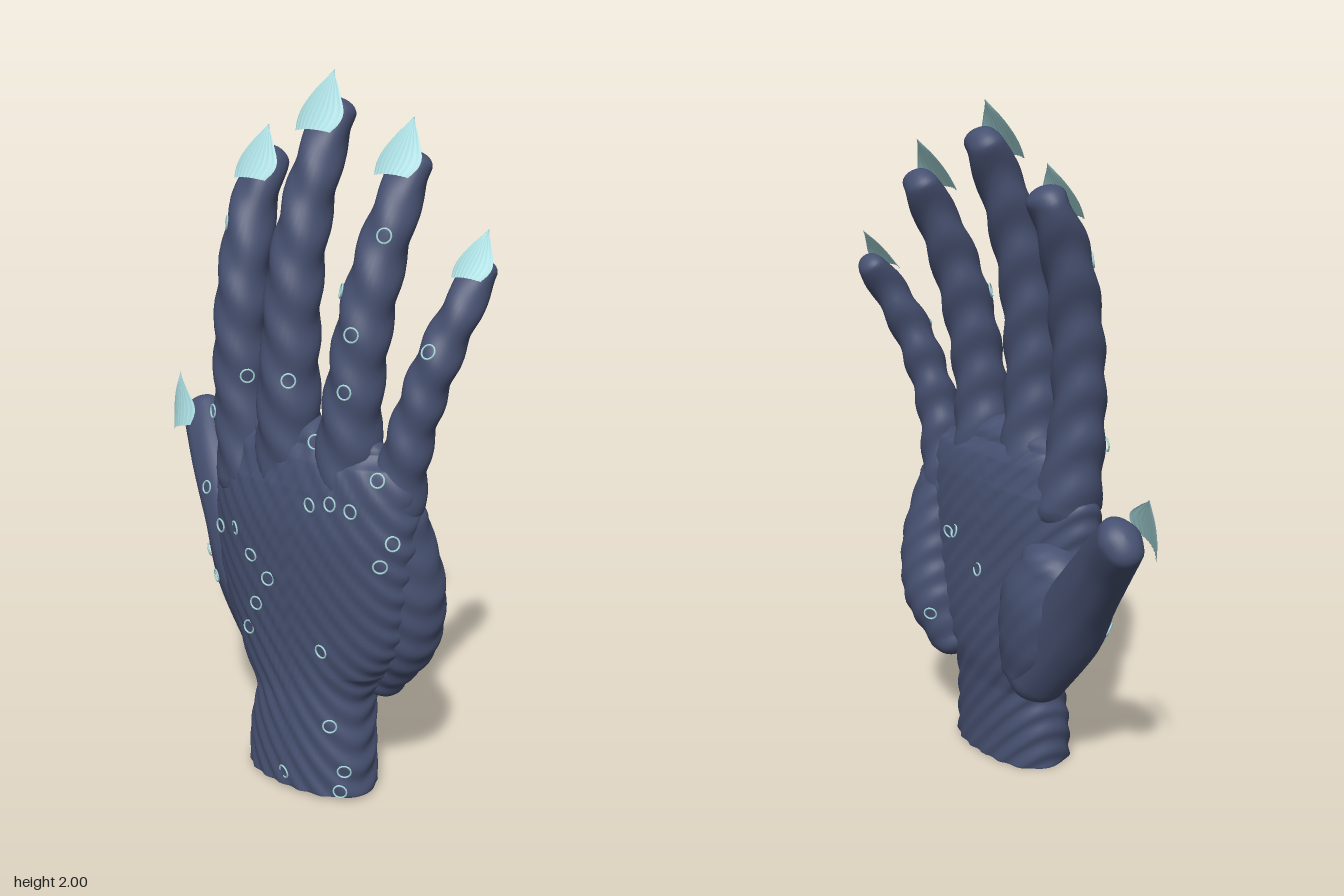
import * as THREE from 'three';

const skin = new THREE.MeshStandardMaterial({ color: 0x465070 });
skin.name = 'slate blue skin';
const pale = new THREE.MeshStandardMaterial({ color: 0xaadce0, side: THREE.DoubleSide });
pale.name = 'pale aqua';

const V = (x, y, z) => new THREE.Vector3(x, y, z);
const FRONT = V(0, 0, 1);

// Sweeps a rounded section along keys [x, y, z, halfWidth, halfDepth].
// Diagonal ridges (amp, wave) run over the surface.
function sweep(name, keys, { rows = 80, cols = 32, amp = 0.0045, wave = 0.1, power = 2, flatStart = false } = {}) {
  const path = new THREE.CatmullRomCurve3(keys.map(k => V(k[0], k[1], k[2])));
  const size = new THREE.CatmullRomCurve3(keys.map(k => V(k[3], k[4] ?? k[3], 0)));
  const stations = [];
  const add = (t, scale, push) => stations.push({ t, scale, push });
  const CAP = 8;
  if (flatStart) [0.001, 0.5, 0.99].forEach(s => add(0, s, 0));
  else for (let i = 0; i < CAP; i++) {
    const a = (1 - i / CAP) * Math.PI / 2;
    add(0, Math.max(Math.cos(a), 0.001), -Math.sin(a));
  }
  for (let i = 0; i <= rows; i++) add(i / rows, 1, 0);
  for (let i = 1; i <= CAP; i++) {
    const a = i / CAP * Math.PI / 2;
    add(1, Math.max(Math.cos(a), 0.001), Math.sin(a));
  }

  const pos = [], index = [];
  for (const { t, scale, push } of stations) {
    const s = size.getPoint(t);
    const along = path.getTangent(t);
    const side = along.clone().cross(FRONT).normalize();
    const front = side.clone().cross(along);
    const c = path.getPoint(t).addScaledVector(along, push * Math.min(s.x, s.y) * 0.85);
    for (let j = 0; j < cols; j++) {
      const a = j / cols * Math.PI * 2;
      const bend = v => Math.sign(v) * Math.abs(v) ** (2 / power);
      const out = side.clone().multiplyScalar(bend(Math.cos(a)) * s.x * scale)
        .addScaledVector(front, bend(Math.sin(a)) * s.y * scale);
      const p = c.clone().add(out);
      const ridge = amp * scale * Math.sin((p.x * 0.8 + p.y * 0.7 + p.z * 0.25) / wave * Math.PI * 2);
      p.addScaledVector(out.normalize(), ridge);
      pos.push(p.x, Math.max(p.y, 0.005), p.z);
    }
  }
  for (let i = 0; i < stations.length - 1; i++) {
    for (let j = 0; j < cols; j++) {
      const a = i * cols + j, b = i * cols + (j + 1) % cols;
      index.push(a, a + cols, b, b, a + cols, b + cols);
    }
  }
  const g = new THREE.BufferGeometry();
  g.setAttribute('position', new THREE.Float32BufferAttribute(pos, 3));
  g.setIndex(index);
  g.computeVertexNormals();
  const mesh = new THREE.Mesh(g, skin);
  mesh.name = name;
  return mesh;
}

// Pointed, gently arched and fluted nail from the middle of its base to its tip
function nail(name, base, tip, half, side = V(1, 0, 0)) {
  const along = tip.clone().sub(base);
  const normal = side.clone().cross(along).normalize();
  const outline = new THREE.SplineCurve([[0.78, 0], [0.98, 0.2], [0.93, 0.4], [0.5, 0.7], [0.2, 0.87], [0.01, 1]]
    .map(p => new THREE.Vector2(...p)));
  const g = new THREE.PlaneGeometry(2, 1, 28, 20);
  const p = g.attributes.position;
  for (let i = 0; i < p.count; i++) {
    const u = p.getX(i), o = outline.getPoint(p.getY(i) + 0.5);
    const w = u * o.x;
    const lift = 0.018 - half * 0.3 * w * w + 0.0012 * Math.cos(u * 28);
    const q = base.clone().addScaledVector(along, o.y)
      .addScaledVector(side, w * half).addScaledVector(normal, lift * (1 - o.y * 0.6));
    p.setXYZ(i, q.x, q.y, q.z);
  }
  g.computeVertexNormals();
  const mesh = new THREE.Mesh(g, pale);
  mesh.name = name;
  return mesh;
}

export function createModel() {
  const model = new THREE.Group();
  model.name = 'hand';
  const hand = new THREE.Group();
  hand.name = 'handSkin';
  model.add(hand);

  // Wrist and palm: [y, xMin, xMax, zMin, zMax]
  const sections = [
    [0.012, -0.055, 0.36, -0.05, 0.2], [0.12, -0.055, 0.355, -0.05, 0.195],
    [0.26, -0.035, 0.345, -0.055, 0.185], [0.37, -0.1, 0.39, -0.07, 0.18],
    [0.5, -0.16, 0.45, -0.075, 0.182], [0.65, -0.19, 0.475, -0.07, 0.187],
    [0.8, -0.2, 0.485, -0.065, 0.187], [0.91, -0.19, 0.48, -0.055, 0.175],
    [0.99, -0.15, 0.43, -0.035, 0.155], [1.03, -0.1, 0.38, -0.01, 0.13],
  ].map(([y, x0, x1, z0, z1]) => [(x0 + x1) / 2, y, (z0 + z1) / 2, (x1 - x0) / 2, (z1 - z0) / 2]);
  hand.add(sweep('palmAndWrist', sections,
    { rows: 150, cols: 110, wave: 0.052, amp: 0.0038, power: 2.3, flatStart: true }));

  // Fleshy pads on the palm side
  hand.add(
    sweep('thumbPad', [[-0.02, 0.37, -0.015, 0.1, 0.085], [-0.06, 0.48, -0.025, 0.135, 0.1],
      [-0.09, 0.6, -0.03, 0.145, 0.1], [-0.12, 0.71, -0.02, 0.11, 0.085]], { wave: 0.06, amp: 0.002, cols: 48 }),
    sweep('heelPad', [[0.33, 0.35, -0.015, 0.075], [0.395, 0.5, -0.02, 0.108],
      [0.42, 0.64, -0.005, 0.103], [0.41, 0.84, 0.03, 0.08]], { wave: 0.07, amp: 0.0025, cols: 48 }));

  // Fingers and thumb
  const digits = {
    indexFinger: [[-0.09, 0.88, 0.06, 0.1], [-0.115, 1.05, 0.068, 0.082], [-0.125, 1.2, 0.07, 0.075],
      [-0.13, 1.42, 0.05, 0.073], [-0.14, 1.62, -0.005, 0.066], [-0.138, 1.755, -0.068, 0.06, 0.05]],
    middleFinger: [[0.065, 0.9, 0.06, 0.105], [0.065, 1.08, 0.08, 0.09], [0.068, 1.25, 0.08, 0.08],
      [0.07, 1.5, 0.055, 0.075], [0.08, 1.74, -0.013, 0.066], [0.085, 1.89, -0.087, 0.06, 0.05]],
    ringFinger: [[0.255, 0.9, 0.06, 0.105], [0.27, 1.07, 0.07, 0.085], [0.28, 1.2, 0.065, 0.077],
      [0.295, 1.4, 0.035, 0.073], [0.312, 1.6, -0.027, 0.065], [0.322, 1.765, -0.112, 0.058, 0.048]],
    littleFinger: [[0.39, 0.83, 0.04, 0.09], [0.425, 1.0, 0.04, 0.068], [0.455, 1.14, 0.025, 0.06],
      [0.49, 1.28, -0.005, 0.058], [0.522, 1.41, -0.06, 0.053], [0.54, 1.51, -0.125, 0.047, 0.04]],
    thumb: [[-0.04, 0.35, 0.0, 0.1], [-0.16, 0.53, -0.015, 0.118, 0.1], [-0.28, 0.69, -0.055, 0.095, 0.085],
      [-0.4, 0.835, -0.105, 0.081, 0.07], [-0.497, 0.935, -0.162, 0.072, 0.058]],
  };
  for (const [name, keys] of Object.entries(digits)) {
    hand.add(sweep(name, keys, name === 'thumb' ? { amp: 0.0015, wave: 0.07 } : { rows: 110 }));
  }

  // Nails
  model.add(
    nail('indexNail', V(-0.138, 1.705, 0.008), V(-0.13, 1.85, -0.07), 0.072),
    nail('middleNail', V(0.08, 1.845, 0.0), V(0.085, 2.0, -0.088), 0.075),
    nail('ringNail', V(0.315, 1.74, -0.033), V(0.318, 1.885, -0.13), 0.069),
    nail('littleNail', V(0.538, 1.492, -0.06), V(0.542, 1.61, -0.155), 0.056),
    nail('thumbNail', V(-0.507, 0.903, -0.078), V(-0.563, 1.06, -0.14), 0.085, V(0.87, 0.33, 0.36)));

  // Small rings lying on the skin: [x, y], dropped from the front or the back
  const ringGeometry = new THREE.TorusGeometry(0.019, 0.0028, 5, 14);
  const ray = new THREE.Raycaster();
  const dropRings = (name, dir, spots) => spots.forEach(([x, y]) => {
    ray.set(V(x, y, dir), V(0, 0, -dir));
    const hit = ray.intersectObjects(hand.children, false)[0];
    if (!hit) return;
    const ring = new THREE.Mesh(ringGeometry, pale);
    ring.name = name;
    ring.position.copy(hit.point).addScaledVector(hit.face.normal, 0.003);
    ring.quaternion.setFromUnitVectors(FRONT, hit.face.normal);
    model.add(ring);
  });
  dropRings('backOfHandRing', 1, [
    [-0.17, 1.59], [-0.06, 1.18], [-0.175, 1.06], [0.115, 1.2], [0.24, 1.45], [0.345, 1.6],
    [0.31, 1.35], [0.305, 1.2], [0.5, 1.32], [0.195, 1.04], [0.405, 0.975], [0.22, 0.88],
    [0.285, 0.895], [0.345, 0.885], [0.455, 0.81], [0.43, 0.745], [-0.14, 0.725], [-0.06, 0.745],
    [0.01, 0.685], [0.075, 0.63], [0.025, 0.54], [-0.015, 0.45], [0.26, 0.46], [0.285, 0.235],
    [0.145, 0.055], [0.325, 0.1], [0.32, 0.04], [-0.325, 0.765], [-0.305, 0.57], [-0.24, 0.515],
  ]);
  dropRings('palmRing', -1, [[0.29, 0.72], [0.26, 0.73], [0.15, 0.64], [0.33, 0.45]]);

  return model;
}
